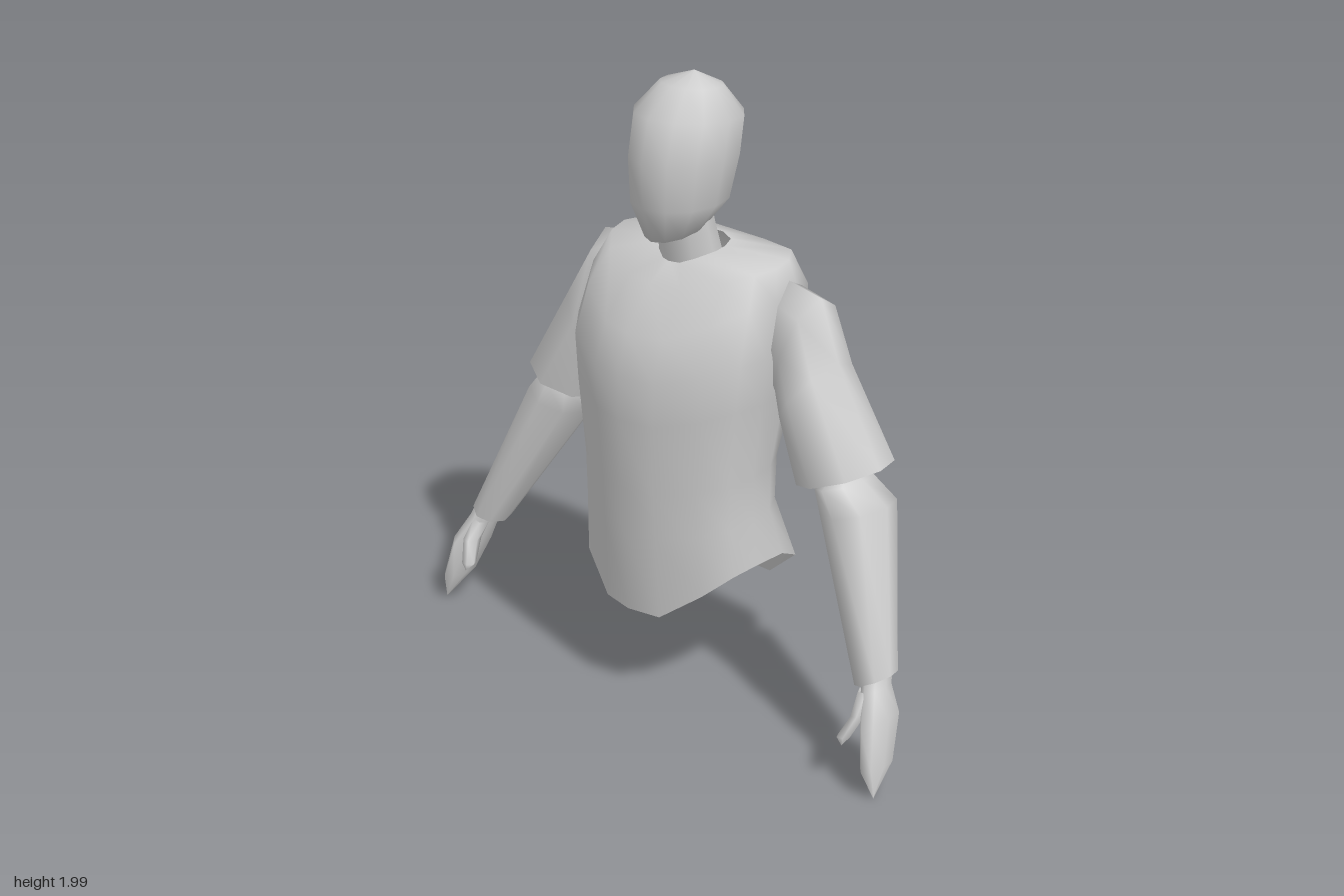
import * as THREE from 'three';

const material = new THREE.MeshStandardMaterial({ color: 0xcccccc, side: THREE.DoubleSide });

// Smooth skin over a list of closed rings, listed from top to bottom
function loft(name, rings) {
  const n = rings[0].length;
  const index = [];
  for (let i = 0; i < rings.length - 1; i++) {
    for (let j = 0; j < n; j++) {
      const k = (j + 1) % n;
      const a = i * n + j, b = i * n + k, c = a + n, d = b + n;
      index.push(a, b, c, b, d, c);
    }
  }
  const geometry = new THREE.BufferGeometry();
  geometry.setAttribute('position', new THREE.Float32BufferAttribute(rings.flat(2), 3));
  geometry.setIndex(index);
  geometry.computeVertexNormals();
  const mesh = new THREE.Mesh(geometry, material);
  mesh.name = name;
  return mesh;
}

// Limb: each section is [outer x, outer y, inner x, inner y, centre z, half depth]
function limb(name, side, sections, sides = 8) {
  return loft(name, sections.map(([ox, oy, ix, iy, z, depth]) => {
    const ring = [];
    for (let j = 0; j < sides; j++) {
      const t = (j / sides) * Math.PI * 2;
      const c = Math.cos(t) / 2;
      ring.push([side * ((ox + ix) / 2 + (ox - ix) * c), (oy + iy) / 2 + (oy - iy) * c, z + depth * Math.sin(t)]);
    }
    return side < 0 ? ring.reverse() : ring;
  }));
}

// Oval stack: each section is [front y, back y, half width, front z, back z]
function ovals(name, sections, sides) {
  return loft(name, sections.map(([yF, yB, w, zF, zB]) => {
    const ring = [];
    for (let j = 0; j < sides; j++) {
      const t = (j / sides) * Math.PI * 2;
      const s = Math.sin(t);
      ring.push([w * Math.cos(t), (yF + yB) / 2 + (yF - yB) / 2 * s, (zF + zB) / 2 + (zF - zB) / 2 * s]);
    }
    return ring;
  }));
}

function createTorso() {
  // Half outline from front to back: width share, depth share, share of front/back height
  const half = [
    [0, 1, 1], [0.34, 0.9, 1], [0.74, 0.68, 0.45], [0.94, 0.35, 0.1], [1, 0, 0],
    [0.92, -0.5, -0.1], [0.75, -0.92, -0.45], [0.36, -1, -1], [0, -1, -1],
  ];
  const outline = [
    ...half.map(([x, z, k]) => [-x, z, k]),
    ...half.slice(1, -1).reverse(),
  ];
  // Front, side and back heights, half width, then front, side and back z
  const levels = [
    [1.43, 1.46, 1.48, 0.10, 0.07, -0.03, -0.13],
    [1.38, 1.45, 1.45, 0.315, 0.15, -0.06, -0.23],
    [1.25, 1.36, 1.30, 0.345, 0.25, -0.03, -0.29],
    [1.12, 1.20, 1.10, 0.36, 0.29, 0.03, -0.29],
    [0.98, 1.05, 0.95, 0.345, 0.29, 0.03, -0.235],
    [0.75, 0.80, 0.78, 0.315, 0.28, 0.03, -0.18],
    [0.60, 0.65, 0.65, 0.318, 0.27, 0.03, -0.17],
    [0.33, 0.51, 0.31, 0.33, 0.255, 0.03, -0.27],
  ];
  // Winding runs -x, back, +x, so it is reversed to face outward
  return loft('shirtBody', levels.map(([yF, yS, yB, w, zF, zS, zB]) =>
    outline.map(([x, z, k]) => [
      x * w,
      yS + (k > 0 ? (yF - yS) * k : (yS - yB) * k),
      zS + (z > 0 ? (zF - zS) * z : (zS - zB) * z),
    ]).reverse().map((p) => [-p[0], p[1], p[2]])));
}

function createArm(side) {
  const arm = new THREE.Group();
  arm.name = side > 0 ? 'leftArm' : 'rightArm';

  // Sleeve, closed at the shoulder and open at the hem
  arm.add(limb('sleeve', side, [
    [0.27, 1.25, 0.27, 1.25, -0.12, 0],
    [0.30, 1.40, 0.29, 1.10, -0.12, 0.11],
    [0.45, 1.38, 0.33, 1.03, -0.11, 0.12],
    [0.54, 1.20, 0.365, 0.98, -0.09, 0.13],
    [0.71, 0.91, 0.44, 0.815, -0.09, 0.16],
  ]));

  // Forearm
  arm.add(limb('forearm', side, [
    [0.57, 0.92, 0.57, 0.92, -0.07, 0],
    [0.665, 0.87, 0.51, 0.82, -0.07, 0.10],
    [0.74, 0.80, 0.52, 0.73, -0.09, 0.12],
    [0.89, 0.35, 0.78, 0.30, 0.055, 0.075],
    [0.835, 0.335, 0.835, 0.335, 0.055, 0],
  ]));

  // Flat mitten hand
  arm.add(limb('hand', side, [
    [0.875, 0.37, 0.805, 0.34, 0.055, 0.055],
    [0.89, 0.32, 0.815, 0.29, 0.075, 0.055],
    [0.925, 0.24, 0.855, 0.20, 0.10, 0.085],
    [0.945, 0.10, 0.885, 0.10, 0.14, 0.07],
    [0.94, 0.01, 0.94, 0.01, 0.18, 0],
  ]));

  // Thumb
  arm.add(limb('thumb', side, [
    [0.87, 0.31, 0.81, 0.30, 0.10, 0.03],
    [0.87, 0.25, 0.825, 0.24, 0.14, 0.035],
    [0.845, 0.18, 0.80, 0.175, 0.18, 0.025],
    [0.825, 0.15, 0.825, 0.15, 0.195, 0],
  ], 6));
  return arm;
}

export function createModel() {
  const model = new THREE.Group();
  model.name = 'upperBodyFigure';

  model.add(ovals('head', [
    [2.00, 2.00, 0, -0.04, -0.04],
    [1.97, 1.96, 0.10, 0.06, -0.12],
    [1.89, 1.87, 0.165, 0.155, -0.19],
    [1.76, 1.76, 0.158, 0.185, -0.185],
    [1.62, 1.63, 0.145, 0.18, -0.14],
    [1.51, 1.56, 0.085, 0.145, -0.08],
    [1.53, 1.53, 0, 0.03, 0.03],
  ], 12));

  model.add(ovals('neck', [
    [1.58, 1.62, 0.085, 0.08, -0.07],
    [1.50, 1.55, 0.092, 0.07, -0.085],
    [1.42, 1.45, 0.10, 0.065, -0.115],
  ], 8));

  model.add(createTorso());
  for (const side of [1, -1]) model.add(createArm(side));
  return model;
}
